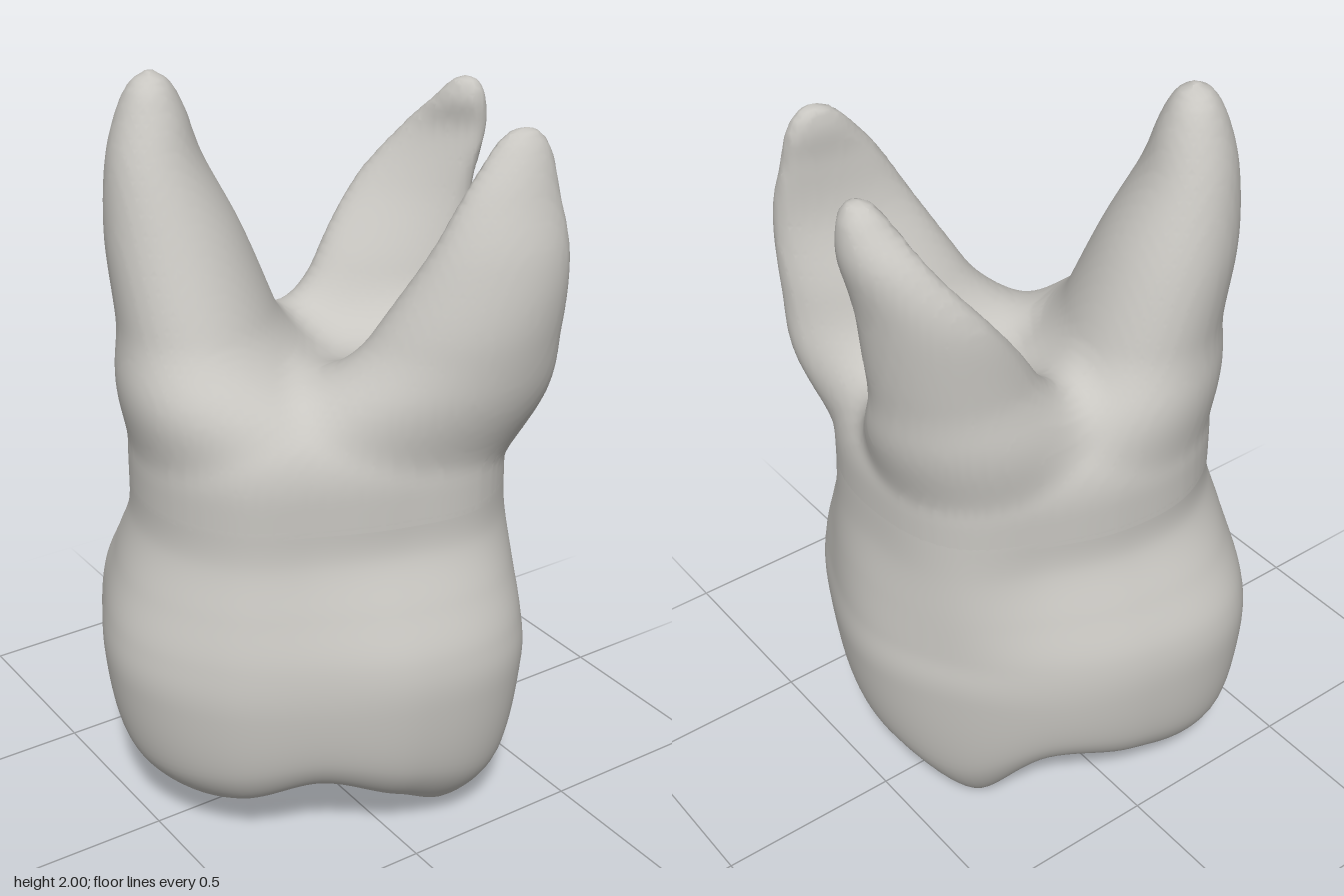
import * as THREE from 'three';

// Uniform Catmull-Rom through rows of numbers, t in 0..1
function spline(rows, t, closed = false) {
  const n = rows.length;
  const p = t * (closed ? n : n - 1);
  const i = closed ? Math.floor(p) : Math.min(Math.floor(p), n - 2);
  const f = p - i;
  const row = (k) => rows[closed ? (k + n) % n : Math.max(0, Math.min(n - 1, k))];
  const [a, b, c, d] = [row(i - 1), row(i), row(i + 1), row(i + 2)];
  return b.map((v, k) => v + 0.5 * f * (c[k] - a[k]
    + f * (2 * a[k] - 5 * v + 4 * c[k] - d[k] + f * (3 * (v - c[k]) + d[k] - a[k]))));
}

function smoothMesh(name, positions, index, material) {
  const g = new THREE.BufferGeometry();
  g.setAttribute('position', new THREE.Float32BufferAttribute(positions, 3));
  g.setIndex(index);
  g.computeVertexNormals();
  const mesh = new THREE.Mesh(g, material);
  mesh.name = name;
  return mesh;
}

// Every 30 degrees from +x towards +z: widest radius, neck radius, rim radius, rim height
const OUTLINE = [
  [0.53, 0.48, 0.36, 0.06], [0.54, 0.50, 0.41, 0.11], [0.59, 0.49, 0.42, 0.04],
  [0.53, 0.41, 0.41, 0.14], [0.48, 0.39, 0.39, 0.21], [0.53, 0.45, 0.42, 0.15],
  [0.58, 0.48, 0.41, 0.10], [0.57, 0.48, 0.45, 0.14], [0.605, 0.46, 0.47, 0.11],
  [0.54, 0.42, 0.44, 0.18], [0.50, 0.41, 0.41, 0.21], [0.50, 0.47, 0.37, 0.015],
];

// Crown: chewing surface, cusps, bulging sides and neck, lofted around the y axis
function crown(material) {
  const around = 120, along = 80, pos = [], index = [];
  for (let j = 0; j <= along; j++) {
    for (let i = 0; i < around; i++) {
      const [wide, neck, rim, low] = spline(OUTLINE, i / around, true);
      const [r, y] = spline([
        [0, 0.22],
        [rim * 0.5, 0.205 + (low - 0.15) * 0.6],
        [rim * 0.84, low + 0.03],
        [rim, low],
        [rim + (wide - rim) * 0.72, low + (0.45 - low) * 0.36],
        [wide, 0.46],
        [wide * 0.985, 0.6],
        [(wide + neck) / 2, 0.73],
        [neck * 1.01, 0.86],
        [neck, 0.965],
      ], j / along);
      const t = i / around * Math.PI * 2;
      pos.push(r * Math.cos(t), y, r * Math.sin(t));
    }
  }
  for (let j = 0; j < along; j++) {
    for (let i = 0; i < around; i++) {
      const a = j * around + i, b = j * around + (i + 1) % around;
      index.push(a, a + around, b, b, a + around, b + around);
    }
  }
  return smoothMesh('crown', pos, index, material);
}

// Root cross-sections: height, centre x, centre z, half length, half thickness
const tallRoot = {
  bend: 0,
  turn: () => -52,
  rows: [
    [0.9, -0.17, -0.1, 0.26, 0.2], [1.2, -0.22, -0.12, 0.31, 0.23],
    [1.4, -0.25, -0.16, 0.265, 0.2], [1.6, -0.285, -0.2, 0.21, 0.17],
    [1.78, -0.317, -0.225, 0.15, 0.12], [1.9, -0.32, -0.23, 0.1, 0.085],
    [1.97, -0.32, -0.23, 0.06, 0.05], [2.0, -0.32, -0.23, 0.01, 0.01],
  ],
};
const frontRoot = {
  bend: -0.1,
  turn: (y) => 20 - 10 * THREE.MathUtils.smoothstep(y, 1.5, 1.85),
  rows: [
    [0.9, 0.11, 0.17, 0.24, 0.13], [1.2, 0.165, 0.3, 0.29, 0.145],
    [1.4, 0.22, 0.36, 0.24, 0.14], [1.6, 0.27, 0.405, 0.18, 0.095],
    [1.75, 0.305, 0.4, 0.125, 0.062], [1.84, 0.335, 0.388, 0.083, 0.045],
    [1.885, 0.345, 0.382, 0.048, 0.028], [1.905, 0.35, 0.38, 0.01, 0.01],
  ],
};
const sideRoot = {
  bend: 0.15,
  turn: (y) => 33 + 25 * THREE.MathUtils.smoothstep(y, 1.35, 1.75),
  rows: [
    [0.9, 0.22, -0.11, 0.18, 0.12], [1.2, 0.295, -0.15, 0.225, 0.13],
    [1.4, 0.35, -0.165, 0.2, 0.11], [1.6, 0.43, -0.165, 0.16, 0.075],
    [1.75, 0.495, -0.12, 0.115, 0.055], [1.84, 0.51, -0.075, 0.07, 0.048],
    [1.885, 0.512, -0.06, 0.04, 0.03], [1.9, 0.512, -0.055, 0.01, 0.01],
  ],
};

// Cross-section of a root at height y
function sectionAt(rows, y) {
  let lo = 0, hi = 1;
  for (let k = 0; k < 24; k++) {
    const mid = (lo + hi) / 2;
    if (spline(rows, mid)[0] < y) lo = mid; else hi = mid;
  }
  return spline(rows, lo);
}

// Approximate distance to a root, negative inside
function rootDistance([top, cx, cz, a, b], root, x, y, z) {
  const q = root.turn(y) * Math.PI / 180;
  const l = (x - cx) * Math.cos(q) + (z - cz) * Math.sin(q);
  const s = Math.min(1.4, Math.abs(l / a));
  const c = (z - cz) * Math.cos(q) - (x - cx) * Math.sin(q) - root.bend * a * (s * s - 0.4);
  const e = Math.hypot(l / a, c / b);
  const d = (e - 1) * e / Math.max(1e-6, Math.hypot(l / a / a, c / b / b));
  return y > top + 0.001 ? Math.hypot(Math.max(d, 0), y - top) : Math.max(d, -b);
}

function smoothMin(a, b, k) {
  const h = Math.max(k - Math.abs(a - b), 0) / k;
  return Math.min(a, b) - h * h * k / 4;
}

// Trunk and three roots melted together, meshed on a regular grid
function roots(material) {
  const h = 0.018, origin = [-0.63, 0.935, -0.594], size = [71, 61, 66];
  const stride = [1, size[0], size[0] * size[1]];
  const at = (p) => p[0] + p[1] * stride[1] + p[2] * stride[2];
  const value = new Float32Array(size[0] * size[1] * size[2]);
  const parts = [tallRoot, frontRoot, sideRoot];
  for (let j = 0; j < size[1]; j++) {
    const y = origin[1] + j * h;
    const sections = parts.map((r) => sectionAt(r.rows, y));
    const soft = 0.002 + 0.15 * THREE.MathUtils.smoothstep(y, 0.95, 1.3);
    for (let k = 0; k < size[2]; k++) {
      for (let i = 0; i < size[0]; i++) {
        const x = origin[0] + i * h, z = origin[2] + k * h;
        const u = (Math.atan2(z, x) / (Math.PI * 2) + 1) % 1;
        const side = Math.hypot(x, z) - spline(OUTLINE, u, true)[1];
        let d = -smoothMin(-side, 1.25 - y, 0.22);
        parts.forEach((r, n) => {
          d = smoothMin(d, rootDistance(sections[n], r, x, y, z), soft);
        });
        value[at([i, j, k])] = d;
      }
    }
  }

  // One vertex per crossed cell, one quad per crossed grid edge
  const pos = [], index = [], cell = new Map();
  const eachPoint = (visit) => {
    for (let k = 0; k < size[2] - 1; k++) {
      for (let j = 0; j < size[1] - 1; j++) {
        for (let i = 0; i < size[0] - 1; i++) visit([i, j, k], at([i, j, k]));
      }
    }
  };
  eachPoint((p, id) => {
    const sum = [0, 0, 0];
    let count = 0;
    for (let d = 0; d < 3; d++) {
      const e = (d + 1) % 3, f = (d + 2) % 3;
      for (let m = 0; m < 4; m++) {
        const start = id + (m & 1) * stride[e] + (m >> 1) * stride[f];
        const a = value[start], b = value[start + stride[d]];
        if ((a < 0) === (b < 0)) continue;
        sum[d] += a / (a - b);
        sum[e] += m & 1;
        sum[f] += m >> 1;
        count++;
      }
    }
    if (!count) return;
    cell.set(id, pos.length / 3);
    pos.push(...p.map((v, d) => origin[d] + h * (v + sum[d] / count)));
  });
  eachPoint((p, id) => {
    for (let d = 0; d < 3; d++) {
      const e = (d + 1) % 3, f = (d + 2) % 3;
      const inside = value[id] < 0;
      if (inside === (value[id + stride[d]] < 0) || !p[e] || !p[f]) continue;
      const quad = [id, id - stride[e], id - stride[e] - stride[f], id - stride[f]]
        .map((c) => cell.get(c));
      if (!inside) quad.reverse();
      index.push(quad[0], quad[1], quad[2], quad[0], quad[2], quad[3]);
    }
  });
  return smoothMesh('roots', pos, index, material);
}

export function createModel() {
  const enamel = new THREE.MeshStandardMaterial({ color: 0xc8c6c1 });
  enamel.name = 'pale grey';
  const model = new THREE.Group();
  model.name = 'molar';
  model.add(crown(enamel), roots(enamel));
  return model;
}
